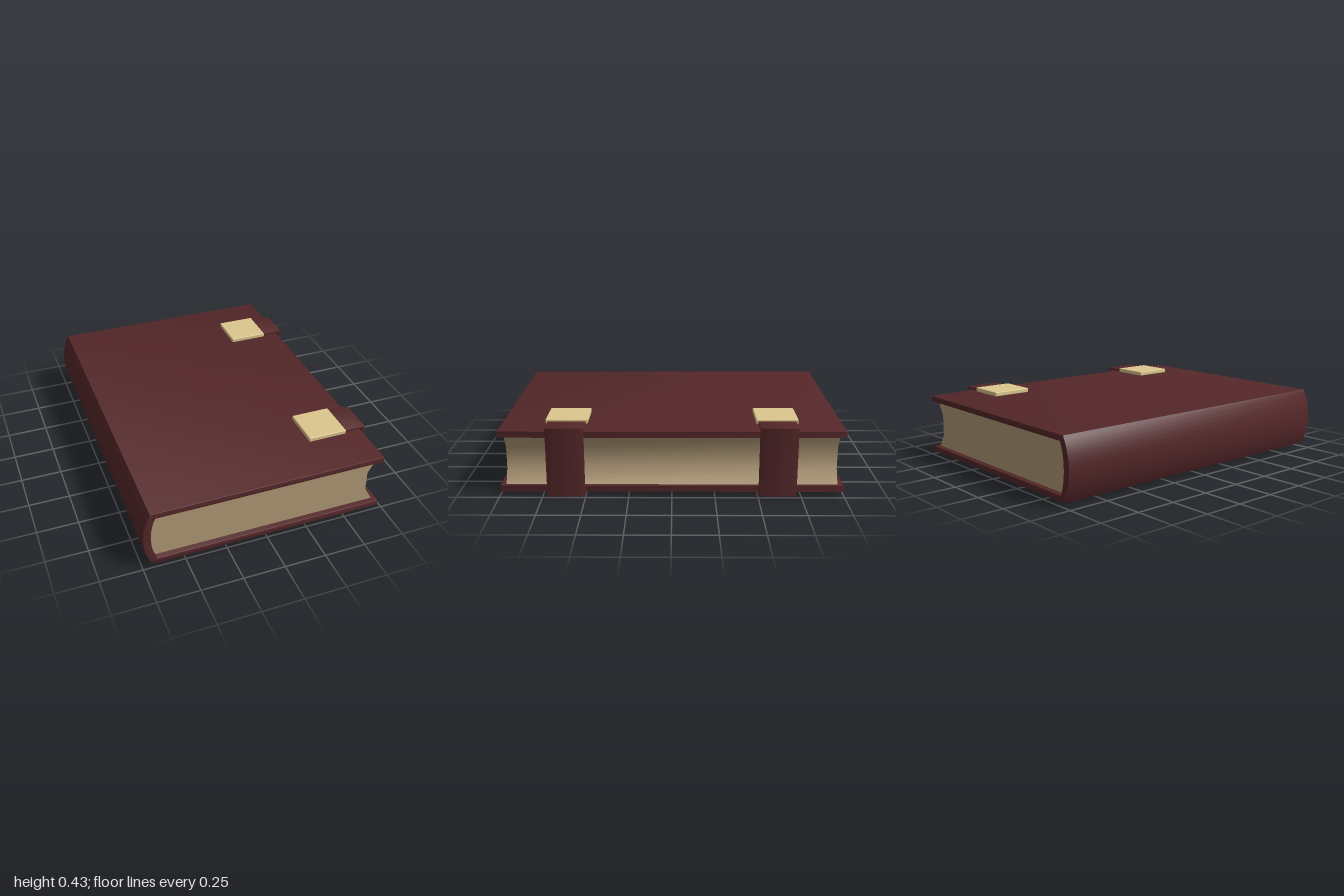
import * as THREE from 'three';
import { RoundedBoxGeometry } from 'three/addons/geometries/RoundedBoxGeometry.js';
import { toCreasedNormals } from 'three/addons/utils/BufferGeometryUtils.js';

function material(name, color) {
  const m = new THREE.MeshStandardMaterial({ color });
  m.name = name;
  return m;
}

// Extrude an x/y outline along z, centred on z = 0, keeping its outer size
function extrudeZ(shape, depth, bevel) {
  const g = new THREE.ExtrudeGeometry(shape, {
    depth: depth - 2 * bevel, curveSegments: 14, bevelEnabled: bevel > 0,
    bevelSize: bevel, bevelThickness: bevel, bevelOffset: -bevel, bevelSegments: 2,
  });
  g.translate(0, 0, -(depth - 2 * bevel) / 2);
  return toCreasedNormals(g, 0.6);
}

function polygon(points) {
  return new THREE.Shape(points.map(([x, y]) => new THREE.Vector2(x, y)));
}

export function createModel() {
  const leather = material('dark red leather', 0x552729);
  const paper = material('aged paper', 0xb29b78);
  const brass = material('pale brass', 0xdcc68c);

  const book = new THREE.Group();
  book.name = 'book';
  const add = (parent, name, geometry, mat, x = 0, y = 0, z = 0) => {
    const mesh = new THREE.Mesh(geometry, mat);
    mesh.name = name;
    mesh.position.set(x, y, z);
    parent.add(mesh);
    return mesh;
  };

  // Both boards and the rounded spine, as one wrapped section
  const cover = new THREE.Shape();
  cover.moveTo(0.72, 0.025);
  cover.lineTo(0.72, 0.061);
  cover.lineTo(-0.665, 0.061);
  cover.bezierCurveTo(-0.705, 0.14, -0.705, 0.276, -0.665, 0.355);
  cover.lineTo(0.72, 0.355);
  cover.lineTo(0.72, 0.391);
  cover.lineTo(-0.695, 0.391);
  cover.bezierCurveTo(-0.76, 0.28, -0.76, 0.136, -0.695, 0.025);
  cover.closePath();
  add(book, 'cover', extrudeZ(cover, 2, 0.005), leather);

  // Page block with a hollowed fore edge
  const pages = new THREE.Shape();
  pages.moveTo(0.695, 0.06);
  pages.lineTo(0.645, 0.145);
  pages.lineTo(0.645, 0.271);
  pages.lineTo(0.695, 0.356);
  pages.lineTo(-0.665, 0.356);
  pages.bezierCurveTo(-0.706, 0.276, -0.706, 0.14, -0.665, 0.06);
  pages.closePath();
  add(book, 'pages', extrudeZ(pages, 1.93, 0), paper);

  // Two straps wrapping the fore edge, each with a plate and four rivets
  const strapShape = polygon([
    [0.13, 0.004], [0.742, 0.004], [0.742, 0.418], [0.59, 0.418],
    [0.59, 0.404], [0.729, 0.404], [0.729, 0.017], [0.13, 0.017],
  ]);
  const strapGeometry = extrudeZ(strapShape, 0.22, 0.002);
  const plateGeometry = new RoundedBoxGeometry(0.24, 0.027, 0.246, 2, 0.005);
  const rivetGeometry = new THREE.CylinderGeometry(0.022, 0.018, 0.006, 14);
  for (const z of [-0.612, 0.612]) {
    const clasp = new THREE.Group();
    clasp.name = z > 0 ? 'frontClasp' : 'backClasp';
    clasp.position.z = z;
    add(clasp, 'strap', strapGeometry, leather);
    add(clasp, 'claspPlate', plateGeometry, brass, 0.49, 0.416);
    for (const dx of [-0.06, 0.06]) {
      for (const dz of [-0.062, 0.062]) {
        add(clasp, 'rivet', rivetGeometry, brass, 0.22 + dx, 0.003, dz);
      }
    }
    book.add(clasp);
  }
  return book;
}
